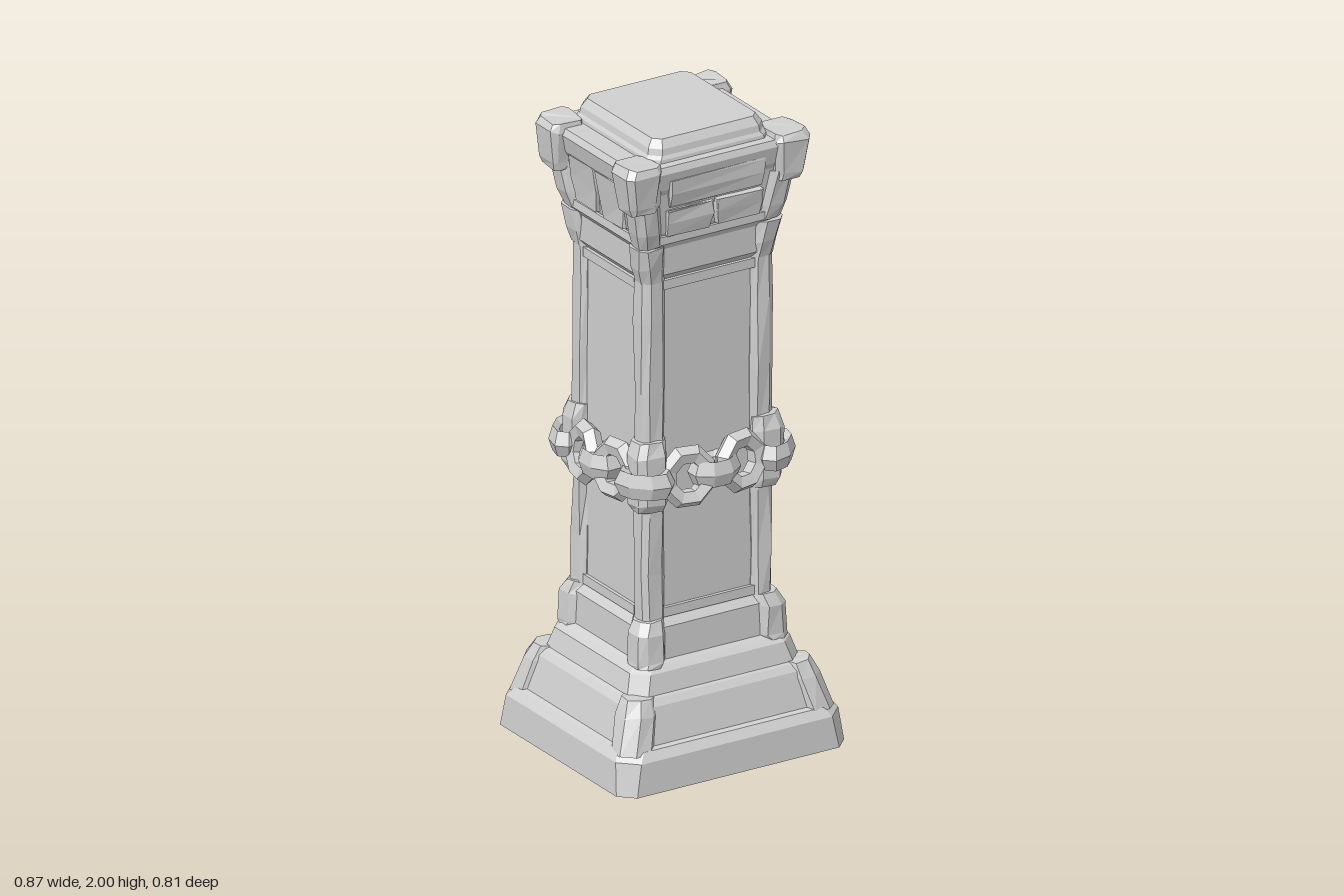
import * as THREE from 'three';

const stone = new THREE.MeshStandardMaterial({ color: 0xd0d0d0 });
stone.name = 'stone grey';

// Small seeded generator for the hand-hewn unevenness
let seed = 7;
const rand = () => {
  seed = (seed * 16807) % 2147483647;
  return seed / 2147483647 - 0.5;
};

// Lofts chamfered rectangles: each ring is [y, halfX, halfZ, chamfer, centreX, centreZ]
function loft(rings, jitter = 0) {
  const loops = rings.map(([y, hx, hz, c, cx = 0, cz = 0]) => [
    [hx, hz - c], [hx, c - hz], [hx - c, -hz], [c - hx, -hz],
    [-hx, c - hz], [-hx, hz - c], [c - hx, hz], [hx - c, hz],
  ].map(([x, z]) => [cx + x + rand() * jitter, y + rand() * jitter, cz + z + rand() * jitter]));
  const pos = [];
  const tri = (a, b, c) => pos.push(...a, ...b, ...c);
  for (let r = 0; r < loops.length - 1; r++) {
    const a = loops[r], b = loops[r + 1];
    for (let i = 0; i < 8; i++) {
      const j = (i + 1) % 8;
      tri(a[i], a[j], b[j]);
      tri(a[i], b[j], b[i]);
    }
  }
  const first = loops[0], last = loops[loops.length - 1];
  for (let i = 1; i < 7; i++) {
    tri(first[0], first[i + 1], first[i]);
    tri(last[0], last[i], last[i + 1]);
  }
  const g = new THREE.BufferGeometry();
  g.setAttribute('position', new THREE.Float32BufferAttribute(pos, 3));
  g.computeVertexNormals();
  return g;
}

function add(parent, name, geometry) {
  const mesh = new THREE.Mesh(geometry, stone);
  mesh.name = name;
  parent.add(mesh);
  return mesh;
}

// Faceted chain link lying in its own xy plane, long along x
function linkGeometry(length, height, tube) {
  const g = new THREE.TorusGeometry(1, 0.42, 5, 8).toNonIndexed();
  g.rotateZ(Math.PI / 8);
  g.scale(length / 2.64, height / 2.64, tube / 0.42);
  g.computeVertexNormals();
  return g;
}

export function createModel() {
  const model = new THREE.Group();
  model.name = 'stonePillar';
  const pillar = new THREE.Group();
  pillar.name = 'pillar';
  pillar.rotation.y = 0.14;
  model.add(pillar);

  // Stepped base, hollow underneath
  add(pillar, 'base', loft([
    [0.25, 0.215, 0.195, 0.03], [0.235, 0.25, 0.225, 0.04], [0.13, 0.3, 0.27, 0.07],
    [0.115, 0.335, 0.302, 0.07], [0, 0.386, 0.352, 0.07],
    [0, 0.396, 0.362, 0.045], [0.1, 0.387, 0.354, 0.055], [0.127, 0.366, 0.334, 0.055],
    [0.132, 0.352, 0.318, 0.055], [0.24, 0.322, 0.29, 0.055], [0.26, 0.306, 0.274, 0.05],
    [0.265, 0.296, 0.266, 0.045], [0.325, 0.278, 0.25, 0.045], [0.34, 0.258, 0.234, 0.04],
    [0.35, 0.242, 0.22, 0.04], [0.45, 0.238, 0.216, 0.04], [0.475, 0.215, 0.195, 0.03],
  ]));

  // Shaft core whose faces are the recessed panels
  add(pillar, 'shaftCore', loft([[0.46, 0.21, 0.19, 0.03], [1.62, 0.208, 0.188, 0.03]]));

  // Collar below the capital
  add(pillar, 'collar', loft([
    [1.55, 0.21, 0.19, 0.03], [1.57, 0.226, 0.206, 0.035], [1.655, 0.228, 0.208, 0.035],
    [1.675, 0.244, 0.222, 0.04], [1.7, 0.242, 0.222, 0.04],
  ]));

  // Flaring capital with a flat ledge round the lid
  add(pillar, 'capital', loft([
    [1.68, 0.225, 0.205, 0.03], [1.71, 0.238, 0.216, 0.03], [1.84, 0.258, 0.234, 0.03],
    [1.86, 0.27, 0.246, 0.03], [1.915, 0.284, 0.258, 0.03], [1.935, 0.274, 0.25, 0.03],
  ]));

  // Bevelled lid
  add(pillar, 'lid', loft([
    [1.92, 0.212, 0.228, 0.03, 0, -0.004], [1.945, 0.208, 0.224, 0.03, 0, -0.004],
    [1.955, 0.2, 0.217, 0.03, 0, -0.004], [1.975, 0.197, 0.214, 0.03, 0, -0.004],
    [2.0, 0.18, 0.197, 0.022, 0, -0.004],
  ]));

  for (const sx of [-1, 1]) for (const sz of [-1, 1]) {
    const ring = (y, h, c, x, z) => [y, h, h, c, sx * x, sz * z];
    // Corner posts framing the panels, slightly uneven
    add(pillar, 'cornerPost', loft(
      [0.44, 0.62, 0.8, 0.98, 1.2, 1.42, 1.6].map((y) => ring(y, 0.038, 0.017, 0.188, 0.169)), 0.009));
    // Corner stones of the steps and the plinth band
    add(pillar, 'baseCornerStone', loft([
      ring(0.115, 0.06, 0.035, 0.31, 0.276), ring(0.22, 0.056, 0.033, 0.284, 0.25),
      ring(0.266, 0.046, 0.028, 0.272, 0.24),
    ], 0.008));
    add(pillar, 'bandCornerStone', loft([
      ring(0.335, 0.044, 0.022, 0.216, 0.196), ring(0.35, 0.05, 0.024, 0.21, 0.19),
      ring(0.44, 0.048, 0.024, 0.208, 0.188), ring(0.475, 0.04, 0.02, 0.198, 0.178),
    ], 0.008));
    // Padding stones behind the chain
    add(pillar, 'chainPad', loft([
      ring(0.82, 0.042, 0.02, 0.194, 0.174), ring(0.85, 0.05, 0.022, 0.202, 0.182),
      ring(1.0, 0.05, 0.022, 0.202, 0.182), ring(1.045, 0.043, 0.02, 0.196, 0.176),
    ], 0.01));
    // Collar corner stones
    add(pillar, 'collarCornerStone', loft([
      ring(1.55, 0.038, 0.018, 0.19, 0.17), ring(1.6, 0.044, 0.02, 0.196, 0.176),
      ring(1.67, 0.046, 0.022, 0.206, 0.184),
    ], 0.009));
    // Struts and knobs at the capital corners
    add(pillar, 'capitalStrut', loft([
      ring(1.67, 0.04, 0.018, 0.204, 0.182), ring(1.72, 0.044, 0.02, 0.216, 0.192),
      ring(1.83, 0.044, 0.02, 0.236, 0.206),
    ], 0.006));
    add(pillar, 'capitalKnob', loft([
      ring(1.8, 0.043, 0.012, 0.25, 0.21), ring(1.825, 0.049, 0.014, 0.254, 0.212),
      ring(1.925, 0.061, 0.018, 0.257, 0.21), ring(1.95, 0.052, 0.016, 0.253, 0.206),
    ], 0.01));
  }

  // Chain links and capital blocks, repeated on the four sides
  const upright = linkGeometry(0.178, 0.186, 0.03);
  const flat = linkGeometry(0.16, 0.11, 0.042);
  for (let s = 0; s < 4; s++) {
    const side = new THREE.Group();
    side.name = 'pillarSide';
    side.rotation.y = s * Math.PI / 2;
    pillar.add(side);
    const odd = s % 2;
    const depth = odd ? 0.225 : 0.205;
    const half = odd ? 0.205 : 0.225;

    for (const k of [-1, 1]) {
      const link = add(side, 'uprightChainLink', upright);
      link.position.set(k * (odd ? 0.085 : 0.093), 0.925 + k * 0.004, depth + 0.024);
      link.rotation.set(-0.12, k * 0.16, k * 0.05);
    }
    const mid = add(side, 'flatChainLink', flat);
    mid.position.set(0, 0.925, depth + 0.025);
    mid.rotation.x = Math.PI / 2;
    const corner = add(side, 'cornerChainLink', flat);
    corner.scale.set(1.1, 0.95, 1);
    corner.position.set(half + 0.003, 0.925, depth + 0.003);
    corner.rotation.set(Math.PI / 2, 0, -Math.PI / 4);

    // Thin panel rails above and below the recess
    for (const y of [0.49, 1.535]) {
      const rail = add(side, 'panelRail', new THREE.BoxGeometry(2 * half - 0.13, 0.03, 0.02));
      rail.position.set(0, y, depth - 0.014);
    }

    // Raised stones on the capital: block pairs on two sides, a slab over low bricks on the others
    const stones = odd
      ? [[-0.074, 1.785, 0.066, 0.075], [0.074, 1.785, 0.066, 0.075]]
      : [[0, 1.845, 0.165, 0.042], [-0.085, 1.745, 0.08, 0.042], [0.085, 1.745, 0.08, 0.042]];
    for (const [x, y, w, h] of stones) {
      const block = add(side, 'capitalStone', loft([
        [-h, w - 0.006, 0.012, 0.004], [0, w, 0.013, 0.004], [h, w, 0.012, 0.004],
      ], 0.008));
      block.position.set(x, y, depth + 0.012 + (y - 1.71) * 0.16);
      block.rotation.x = 0.15;
    }
  }

  // Loose brick at the back of the collar
  add(pillar, 'looseBrick', loft([
    [1.635, 0.045, 0.025, 0.012, 0.02, -0.225], [1.66, 0.07, 0.036, 0.015, 0.02, -0.228],
    [1.71, 0.07, 0.036, 0.015, 0.02, -0.232], [1.73, 0.055, 0.025, 0.012, 0.02, -0.23],
  ], 0.012));

  return model;
}
